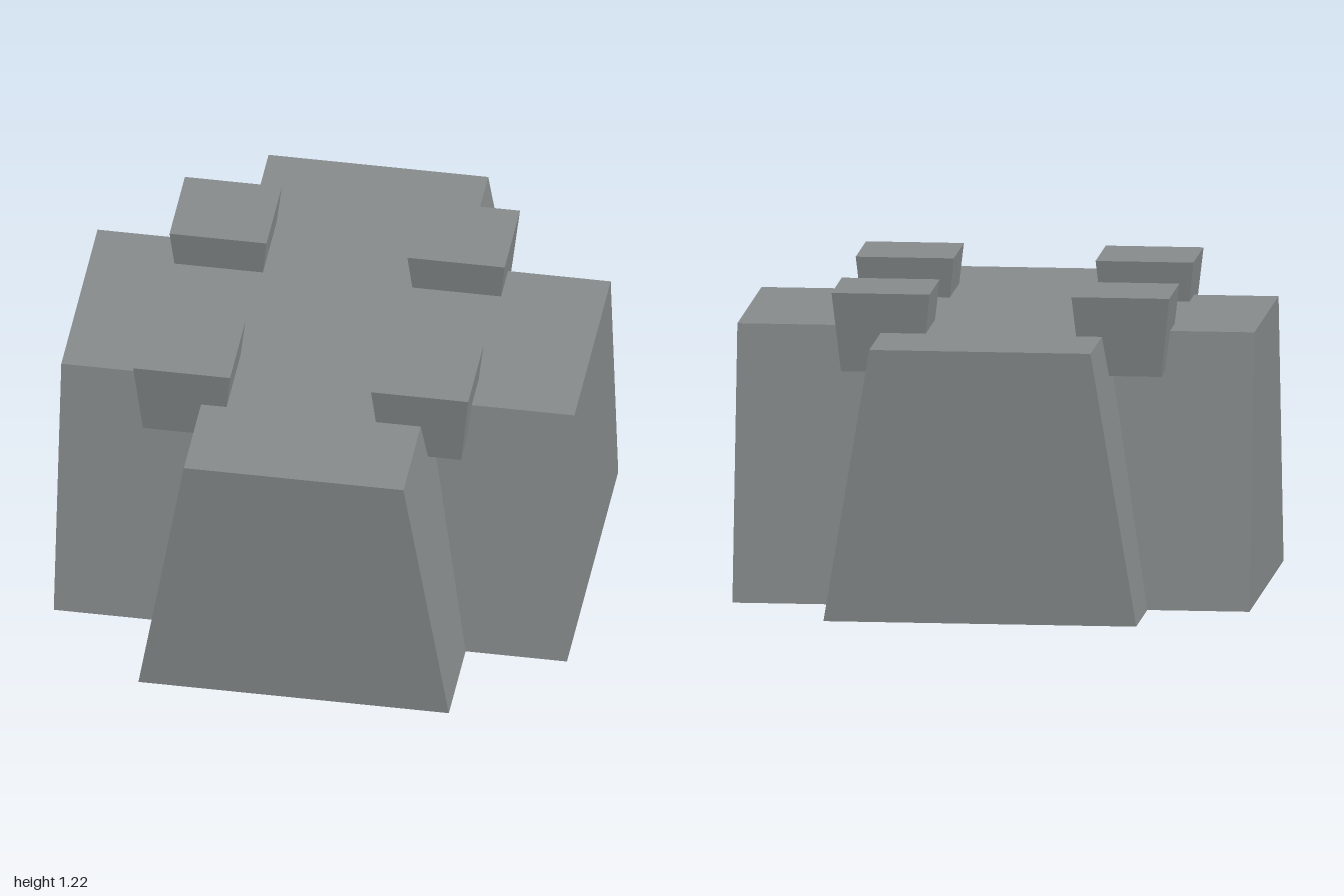
import * as THREE from 'three';

// Six-sided block from bottom and top rectangles [x0, x1, z0, z1]
function taperedBlock(name, material, y0, y1, bottom, top) {
  const geo = new THREE.BoxGeometry(1, 1, 1);
  const p = geo.attributes.position;
  for (let i = 0; i < p.count; i++) {
    const up = p.getY(i) > 0;
    const r = up ? top : bottom;
    p.setXYZ(i, p.getX(i) > 0 ? r[1] : r[0], up ? y1 : y0, p.getZ(i) > 0 ? r[3] : r[2]);
  }
  geo.computeVertexNormals();
  const mesh = new THREE.Mesh(geo, material);
  mesh.name = name;
  return mesh;
}

export function createModel() {
  const group = new THREE.Group();
  group.name = 'crossBase';
  const stone = new THREE.MeshStandardMaterial({ color: 0x868a8b, flatShading: true });
  stone.name = 'stone grey';

  const H = 1.06, B = 0.605, T = 0.428; // height, half width at foot and top

  // Main bar running front to back
  group.add(taperedBlock('mainBar', stone, 0, H, [-B, B, -1, 1], [-T, T, -1, 1]));

  // Side arms meeting the sloped flanks of the main bar
  group.add(taperedBlock('leftArm', stone, 0, H, [B, 1, -B, B], [T, 1, -T, T]));
  group.add(taperedBlock('rightArm', stone, 0, H, [-1, -B, -B, B], [-1, -T, -T, T]));

  // Four corner studs, wider at the top and sunk into the inner corners
  const inset = 0.033;
  for (const [side, x0, x1] of [['Left', 0.237, 0.616], ['Right', -0.69, -0.312]]) {
    for (const [end, z0, z1] of [['front', 0.246, 0.61], ['back', -0.612, -0.249]]) {
      group.add(taperedBlock(end + side + 'Stud', stone, 0.905, 1.215,
        [x0 + inset, x1 - inset, z0 + inset, z1 - inset], [x0, x1, z0, z1]));
    }
  }
  return group;
}
